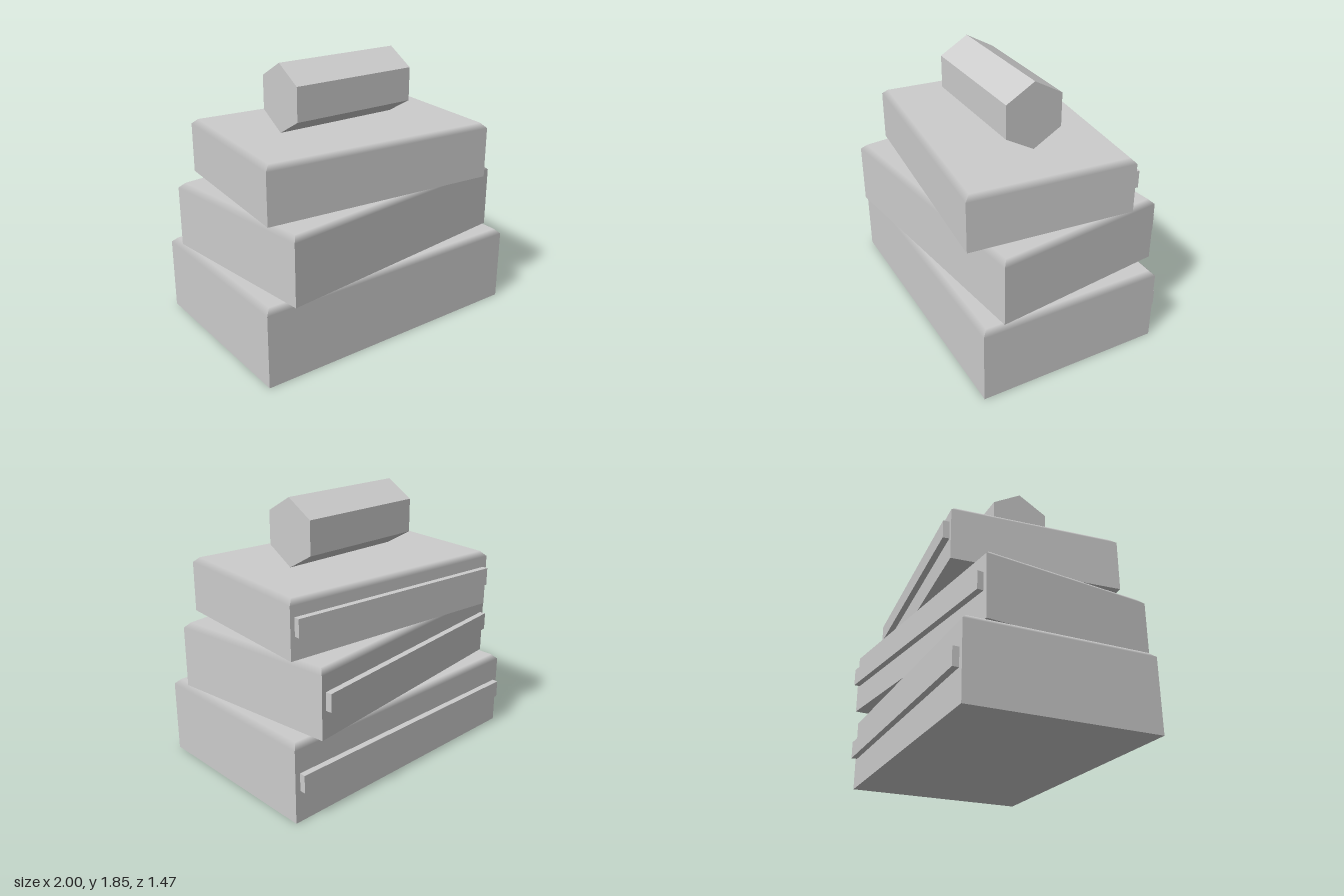
import * as THREE from 'three';

const grey = new THREE.MeshStandardMaterial({ color: 0xcccccc });
grey.name = 'plain grey';

const BEVEL = 0.035;
const CENTRE_Z = 0.014;

// Box with sharp uprights and a softly shaded bevel around its top.
function bevelledBlock(w, h, d) {
  const g = new THREE.BoxGeometry(w, h, d, 1, 2, 1);
  const p = g.attributes.position, n = g.attributes.normal;
  for (let i = 0; i < p.count; i++) {
    const y = p.getY(i);
    if (Math.abs(y) < 1e-6) {
      p.setY(i, h / 2 - BEVEL);
    } else if (y > 0) {
      p.setX(i, p.getX(i) - Math.sign(p.getX(i)) * BEVEL);
      p.setZ(i, p.getZ(i) - Math.sign(p.getZ(i)) * BEVEL);
      n.setXYZ(i, 0, 1, 0);
    }
  }
  return g;
}

function addMesh(parent, name, geometry, x, y, z) {
  const mesh = new THREE.Mesh(geometry, grey);
  mesh.name = name;
  mesh.position.set(x, y, z);
  parent.add(mesh);
  return mesh;
}

export function createModel() {
  const model = new THREE.Group();
  model.name = 'stackedBlocks';

  // Three twisted tiers, each with a raised strip along its back
  const tiers = [
    { name: 'lowerTier', w: 2.0, d: 1.3, y0: 0, y1: 0.54, turn: 0, stripY: 0.28 },
    { name: 'middleTier', w: 1.838, d: 1.224, y0: 0.54, y1: 1.0, turn: 0.12, stripY: 0.79 },
    { name: 'upperTier', w: 1.678, d: 1.149, y0: 1.0, y1: 1.385, turn: -0.0873, stripY: 1.215 },
  ];
  for (const t of tiers) {
    const tier = new THREE.Group();
    tier.name = t.name;
    tier.position.z = CENTRE_Z;
    tier.rotation.y = t.turn;
    const h = t.y1 - t.y0;
    addMesh(tier, t.name + 'Block', bevelledBlock(t.w, h, t.d), 0, t.y0 + h / 2, 0);
    addMesh(tier, t.name + 'BackStrip',
      new THREE.BoxGeometry(t.w * 0.9625, 0.122, 0.084), 0, t.stripY, -t.d / 2);
    model.add(tier);
  }

  // Six-sided bar lying across the top, resting on an edge
  const r = 0.232;
  const bar = new THREE.CylinderGeometry(r, r, 0.925, 6, 1, false, Math.PI / 6).toNonIndexed();
  bar.computeVertexNormals();
  bar.rotateZ(Math.PI / 2);
  addMesh(model, 'hexagonalBar', bar, -0.002, 1.385 + r, CENTRE_Z);

  return model;
}
